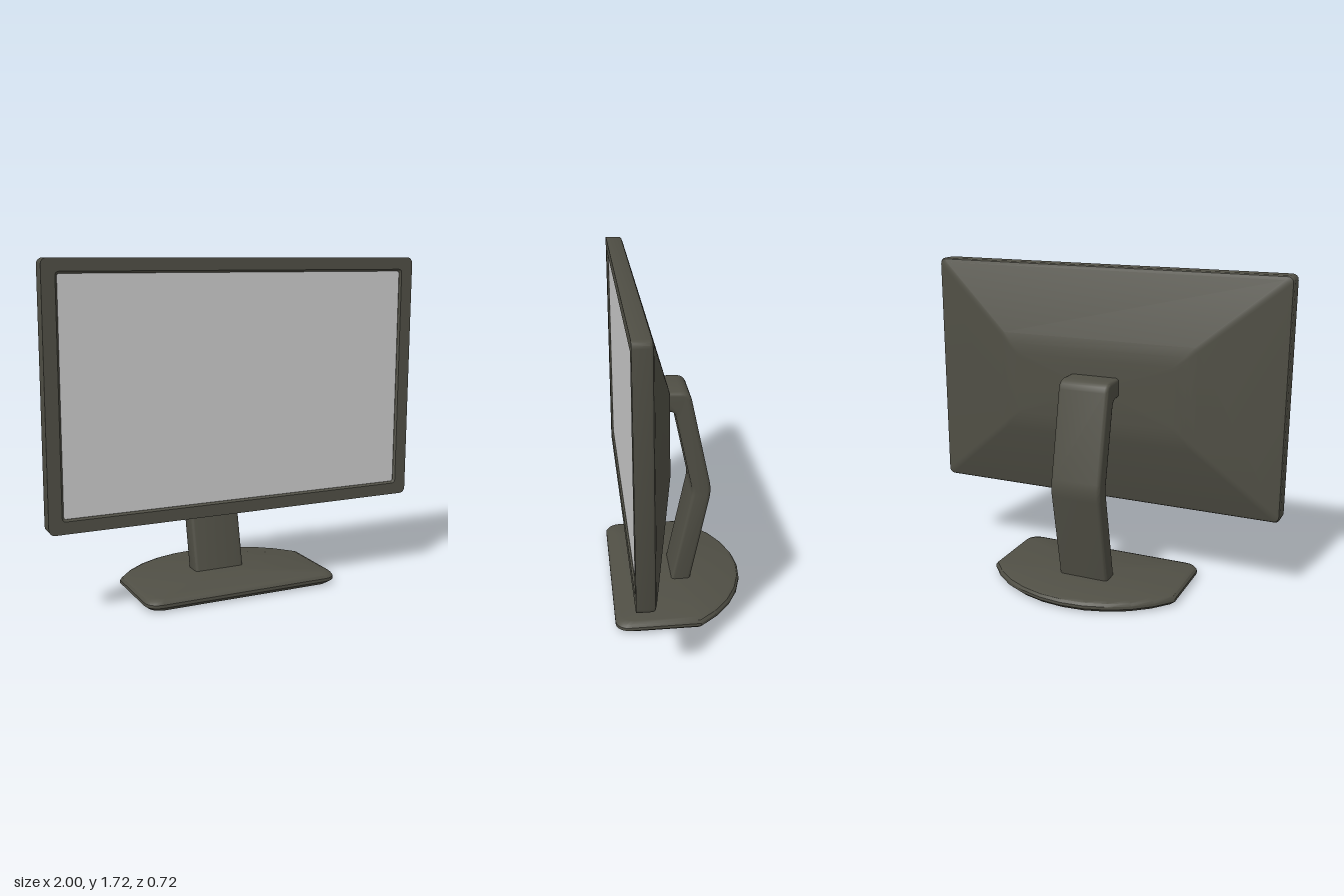
import * as THREE from 'three';
import { toCreasedNormals } from 'three/addons/utils/BufferGeometryUtils.js';

const dark = new THREE.MeshStandardMaterial({ color: 0x504f45 });
const grey = new THREE.MeshStandardMaterial({ color: 0xcccccc });

// Skin convex counter-clockwise rings running towards -z, closed at both ends
function loft(rings, crease) {
  const n = rings[0].length, pos = [], idx = [];
  rings.forEach(r => r.forEach(p => pos.push(p.x, p.y, p.z)));
  for (let i = 0; i < rings.length - 1; i++) {
    for (let j = 0; j < n; j++) {
      const a = i * n + j, b = i * n + (j + 1) % n;
      idx.push(a, a + n, b, b, a + n, b + n);
    }
  }
  [0, rings.length - 1].forEach((r, end) => {
    const c = pos.length / 3, mid = new THREE.Vector3();
    rings[r].forEach(p => mid.addScaledVector(p, 1 / n));
    pos.push(mid.x, mid.y, mid.z);
    for (let j = 0; j < n; j++) {
      const a = r * n + j, b = r * n + (j + 1) % n;
      if (end) idx.push(c, b, a); else idx.push(c, a, b);
    }
  });
  const g = new THREE.BufferGeometry();
  g.setAttribute('position', new THREE.Float32BufferAttribute(pos, 3));
  g.setIndex(idx);
  return toCreasedNormals(g, crease);
}

// Rounded rectangle ring: half width, half height, depth, corner radius
function rectRing([w, h, z, r]) {
  const pts = [];
  [[1, 1], [-1, 1], [-1, -1], [1, -1]].forEach(([sx, sy], q) => {
    for (let k = 0; k <= 4; k++) {
      const a = (q + k / 4) * Math.PI / 2;
      pts.push(new THREE.Vector3(sx * (w - r) + r * Math.cos(a), sy * (h - r) + r * Math.sin(a), z));
    }
  });
  return pts;
}

function add(group, name, geometry, material) {
  const m = new THREE.Mesh(geometry, material);
  m.name = name;
  group.add(m);
  return m;
}

// Side profile with chosen corners rounded: [z, y, radius]
function roundedProfile(pts) {
  const shape = new THREE.Shape();
  const n = pts.length;
  pts.forEach(([x, y, r], i) => {
    const p = new THREE.Vector2(x, y);
    const toward = q => p.clone().add(new THREE.Vector2(q[0], q[1]).sub(p).setLength(r));
    const a = r ? toward(pts[(i + n - 1) % n]) : p;
    if (i) shape.lineTo(a.x, a.y); else shape.moveTo(a.x, a.y);
    if (r) {
      const b = toward(pts[(i + 1) % n]);
      shape.quadraticCurveTo(x, y, b.x, b.y);
    }
  });
  shape.closePath();
  return shape;
}

export function createModel() {
  const model = new THREE.Group();
  model.name = 'monitor';

  // Housing: recessed bezel opening, rim, then sloping back
  const housing = loft([
    [0.925, 0.569, 0.262, 0.012],
    [0.925, 0.569, 0.276, 0.012],
    [0.935, 0.579, 0.285, 0.018],
    [1, 0.64, 0.285, 0.03],
    [1, 0.64, 0.208, 0.03],
    [0.994, 0.634, 0.197, 0.028],
    [0.978, 0.618, 0.19, 0.025],
    [0.56, 0.27, 0.089, 0.02],
    [0.51, 0.22, 0.076, 0.02],
    [0.45, 0.165, 0.07, 0.02],
  ].map(rectRing), 0.6);
  add(model, 'housing', housing, dark).position.y = 1.075;

  // Display panel inside the bezel
  const panel = loft([[0.925, 0.569, 0.274, 0.012], [0.925, 0.569, 0.264, 0.012]].map(rectRing), 0.5);
  add(model, 'screen', panel, grey).position.y = 1.075;

  // Bent stand arm
  const profile = roundedProfile([
    [0.09, 1.155, 0], [-0.07, 1.155, 0.05], [-0.188, 0.59, 0.05], [-0.07, 0.03, 0],
    [0.034, 0.03, 0], [-0.087, 0.59, 0.03], [0.008, 1.05, 0.035], [0.09, 1.05, 0],
  ]);
  const bevel = 0.018, width = 0.28;
  const arm = new THREE.ExtrudeGeometry(profile, {
    depth: width - 2 * bevel, curveSegments: 6,
    bevelEnabled: true, bevelSize: bevel, bevelThickness: bevel, bevelOffset: -bevel, bevelSegments: 3,
  });
  arm.translate(0, 0, bevel - width / 2).rotateY(-Math.PI / 2);
  add(model, 'standArm', toCreasedNormals(arm, 0.6), dark).position.x = -0.004;

  // Foot outline: rounded front corners, straight sides, curved back
  const outline = [];
  const R = 0.651, cz = 0.291, half = Math.asin(0.535 / R), cr = 0.07;
  for (let i = 0; i <= 10; i++) {
    const a = (i / 5 - 1) * half;
    outline.push([R * Math.sin(a), cz - R * Math.cos(a)]);
  }
  for (let q = 0; q < 2; q++) {
    for (let k = 0; k <= 5; k++) {
      const a = (q + k / 5) * Math.PI / 2;
      outline.push([(q ? -1 : 1) * (0.535 - cr) + cr * Math.cos(a), 0.356 - cr + cr * Math.sin(a)]);
    }
  }
  const foot = loft([[0, 0.026], [0.022, 0], [0.038, 0], [0.052, 0.01], [0.06, 0.032]].map(([y, inset]) =>
    outline.map(([x, z]) => new THREE.Vector3(x * (1 - inset / 0.535), z * (1 - inset / 0.357), -y))), 0.6);
  foot.rotateX(Math.PI / 2);
  add(model, 'foot', foot, dark);

  return model;
}
